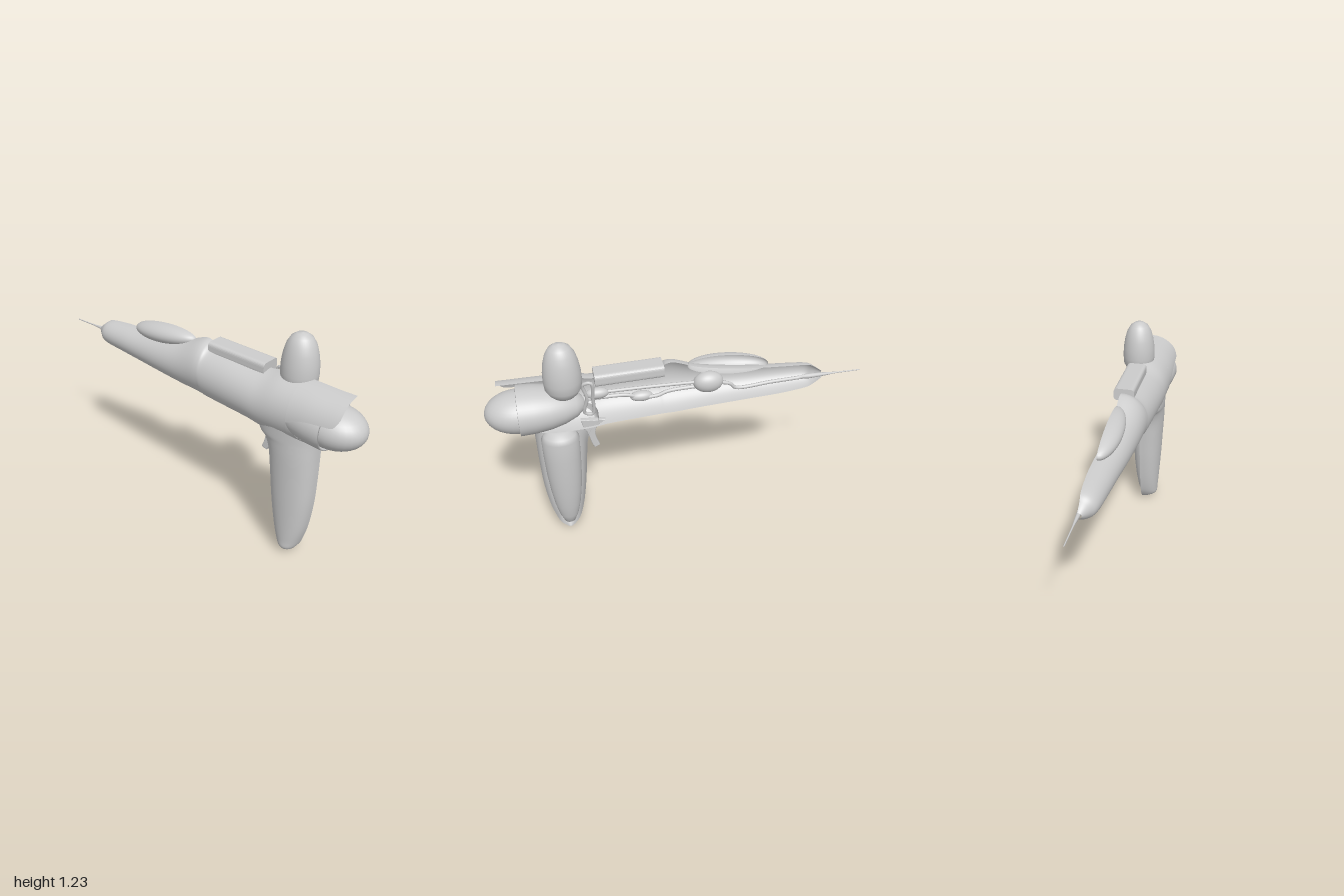
import * as THREE from 'three';
import { ParametricGeometry } from 'three/addons/geometries/ParametricGeometry.js';

const solid = new THREE.MeshStandardMaterial({ color: 0xcccccc });
const thin = new THREE.MeshStandardMaterial({ color: 0xcccccc, side: THREE.DoubleSide });

// Catmull-Rom interpolation through a list of equal-length rows, t in 0..1
function sample(rows, t) {
  const n = rows.length - 1;
  const i = Math.min(Math.floor(t * n), n - 1);
  const f = t * n - i;
  const at = (k) => rows[Math.max(0, Math.min(n, k))];
  return rows[i].map((b, k) => {
    const a = at(i - 1)[k], c = at(i + 1)[k], d = at(i + 2)[k];
    return b + 0.5 * f * (c - a + f * (2 * a - 5 * b + 4 * c - d + f * (3 * (b - c) + d - a)));
  });
}

export function createModel() {
  const model = new THREE.Group();

  function add(name, geometry, material = solid) {
    const mesh = new THREE.Mesh(geometry, material);
    mesh.name = name;
    model.add(mesh);
    return mesh;
  }

  function surface(name, fn, slices, stacks) {
    const g = new ParametricGeometry(fn, slices, stacks);
    g.computeVertexNormals();
    return add(name, g, thin);
  }

  // Turned body from [radius, height] points
  function turned(name, profile, segments = 40) {
    const pts = profile.map(([r, y]) => new THREE.Vector2(r, y));
    return add(name, new THREE.LatheGeometry(pts, segments));
  }

  function tube(name, points, radius, closed = false) {
    const path = new THREE.CatmullRomCurve3(points.map((p) => new THREE.Vector3(...p)), closed);
    return add(name, new THREE.TubeGeometry(path, 48, radius, 8, closed));
  }

  function ellipsoid(name, position, radii) {
    const mesh = add(name, new THREE.SphereGeometry(1, 32, 20));
    mesh.position.set(...position);
    mesh.scale.set(...radii);
    return mesh;
  }

  // Half fuselage skin: rows of x, top, bottom, front depth, back edge, first and last angle
  function skin(name, rows, stacks) {
    surface(name, (u, v, p) => {
      const [x, top, bottom, front, back, a0, a1] = sample(rows, v);
      const a = Math.PI * (a0 + (a1 - a0) * u);
      p.set(x, (top + bottom) / 2 + (top - bottom) / 2 * Math.cos(a),
        back + (front - back) * Math.sin(a));
    }, 28, stacks);
  }
  skin('fuselageShell', [
    [-0.78, 0.88, 0.848, -0.02, -0.04, 0, 1],
    [-0.74, 0.91, 0.815, 0.01, -0.04, 0, 1],
    [-0.69, 0.937, 0.796, 0.038, -0.045, 0, 1],
    [-0.55, 0.95, 0.782, 0.053, -0.05, 0, 1],
    [-0.4, 0.957, 0.77, 0.065, -0.045, 0, 1],
    [-0.25, 0.972, 0.758, 0.08, -0.04, 0, 1],
    [-0.1, 0.998, 0.746, 0.093, -0.035, 0, 1],
    [0.02, 1.04, 0.737, 0.104, -0.035, 0, 1],
    [0.07, 1.04, 0.734, 0.107, -0.032, 0, 1],
    [0.11, 1.018, 0.731, 0.11, -0.03, 0, 1],
    [0.25, 1.01, 0.722, 0.119, -0.03, 0, 1],
    [0.38, 1.003, 0.713, 0.126, -0.03, 0, 1],
    [0.46, 1.005, 0.7, 0.129, -0.03, 0, 1],
    [0.55, 1.02, 0.695, 0.133, -0.03, 0, 1],
    [0.65, 1.023, 0.695, 0.136, -0.03, 0, 1],
  ], 84);
  skin('upperCowlFlap', [
    [0.65, 1.023, 0.695, 0.136, -0.03, 0, 0.52],
    [0.74, 1.022, 0.7, 0.138, -0.028, 0, 0.45],
    [0.84, 1.02, 0.7, 0.138, -0.025, 0, 0.42],
    [0.895, 1.02, 0.7, 0.138, -0.025, 0, 0.4],
    [0.92, 1.02, 0.7, 0.138, -0.025, 0, 0.31],
  ], 20);
  skin('lowerCowlFlap', [
    [0.65, 1.023, 0.695, 0.136, -0.03, 0.52, 1],
    [0.69, 1.022, 0.7, 0.136, -0.03, 0.65, 1],
    [0.77, 1.02, 0.715, 0.136, -0.03, 0.82, 1],
  ], 10);

  // Half wing skin: rows of y, trailing x, leading x, front depth
  const wingRows = [
    [0.78, 0.43, 0.77, 0.115], [0.725, 0.435, 0.768, 0.112], [0.69, 0.47, 0.766, 0.109],
    [0.62, 0.497, 0.765, 0.106], [0.5, 0.511, 0.763, 0.1], [0.35, 0.526, 0.756, 0.093],
    [0.2, 0.548, 0.736, 0.084], [0.1, 0.572, 0.71, 0.077], [0.05, 0.595, 0.69, 0.07],
    [0.02, 0.619, 0.663, 0.025], [0.005, 0.638, 0.646, -0.015],
  ];
  surface('wingShell', (u, v, p) => {
    const [y, x0, x1, front] = sample(wingRows, v);
    const a = Math.PI * u;
    p.set((x0 + x1) / 2 - (x1 - x0) / 2 * Math.cos(a), y,
      -0.02 + (front + 0.02) * Math.pow(Math.max(0, Math.sin(a)), 0.65));
  }, 32, 50);

  // Open half canopy
  const canopy = add('canopy', new THREE.SphereGeometry(1, 32, 24, 0, Math.PI), thin);
  canopy.position.set(-0.255, 0.99, -0.03);
  canopy.scale.set(0.217, 0.056, 0.08);
  canopy.rotation.z = 0.1;

  // Long pod inside the wing and short pod above the fuselage
  const lowerPod = turned('lowerPod', [
    [0, 0.03], [0.03, 0.045], [0.052, 0.1], [0.07, 0.18], [0.084, 0.28], [0.094, 0.4],
    [0.099, 0.52], [0.1, 0.64], [0.085, 0.665], [0.055, 0.692], [0, 0.692],
  ]);
  lowerPod.position.set(0.64, 0, 0);
  lowerPod.scale.z = 0.83;
  const upperPod = turned('upperPod', [
    [0, 0.93], [0.055, 0.935], [0.075, 0.955], [0.092, 0.985], [0.096, 1.03], [0.094, 1.08],
    [0.086, 1.13], [0.073, 1.175], [0.053, 1.208], [0.028, 1.225], [0, 1.23],
  ]);
  upperPod.position.set(0.595, 0, -0.046);
  upperPod.scale.z = 0.94;

  // Engine cowl with recessed lip, and the rounded nose within it
  const cowl = turned('engineCowl', [
    [0, 0.49], [0.3, 0.505], [0.52, 0.54], [0.73, 0.6], [0.88, 0.67], [0.97, 0.75],
    [1, 0.83], [0.95, 0.832], [0.9, 0.79], [0, 0.77],
  ], 48);
  cowl.geometry.rotateZ(-Math.PI / 2);
  cowl.scale.set(1, 0.125, 0.145);
  cowl.position.y = 0.845;
  ellipsoid('engineNose', [0.83, 0.842, 0], [0.17, 0.107, 0.131]);

  // Long rounded block on the spine
  const w = 0.055, h = 0.033, r = 0.022;
  const block = new THREE.Shape();
  block.moveTo(-w + r, -h).lineTo(w - r, -h).quadraticCurveTo(w, -h, w, -h + r)
    .lineTo(w, h - r).quadraticCurveTo(w, h, w - r, h).lineTo(-w + r, h)
    .quadraticCurveTo(-w, h, -w, h - r).lineTo(-w, -h + r).quadraticCurveTo(-w, -h, -w + r, -h);
  const spine = add('spineBlock', new THREE.ExtrudeGeometry(block,
    { depth: 0.35, bevelEnabled: false, curveSegments: 6 }).rotateY(Math.PI / 2));
  spine.position.set(0.09, 1.02, -0.026);
  spine.rotation.z = -0.03;

  // Tail probe
  const probe = turned('tailProbe', [[0, -1], [0.003, -0.99], [0.004, -0.86], [0.01, -0.78], [0.014, -0.7], [0, -0.6]], 12);
  probe.geometry.rotateZ(-Math.PI / 2);
  probe.position.set(0, 0.863, -0.038);

  // Control linkage inside the shell
  tube('controlRod', [[-0.75, 0.863, -0.038], [-0.5, 0.853, -0.035], [-0.3, 0.842, -0.03],
    [-0.27, 0.87, -0.03], [-0.2, 0.89, -0.03]], 0.01);
  ellipsoid('linkageBall', [-0.15, 0.9, -0.03], [0.08, 0.058, 0.05]);
  tube('upperRod', [[-0.1, 0.905, -0.03], [0.15, 0.912, -0.03], [0.5, 0.915, -0.03]], 0.009);
  tube('lowerRod', [[-0.1, 0.88, -0.03], [0.06, 0.865, -0.02], [0.12, 0.845, -0.02],
    [0.2, 0.84, -0.01], [0.28, 0.865, -0.01], [0.48, 0.87, -0.01]], 0.01);
  ellipsoid('rodBulb', [0.43, 0.912, -0.03], [0.06, 0.03, 0.03]);
  ellipsoid('leverKnob', [0.2, 0.842, 0], [0.06, 0.028, 0.03]);
  tube('bracketLoop', [[0.46, 1.0, -0.07], [0.5, 0.99, -0.06], [0.485, 0.9, -0.05], [0.5, 0.8, -0.03],
    [0.46, 0.79, -0.03], [0.455, 0.9, -0.05]], 0.009, true);

  // Curved hook under the fuselage
  const hook = new THREE.Shape();
  hook.moveTo(0.4, 0.73).bezierCurveTo(0.46, 0.7, 0.475, 0.66, 0.44, 0.572)
    .lineTo(0.462, 0.562).bezierCurveTo(0.485, 0.6, 0.48, 0.66, 0.51, 0.69).lineTo(0.52, 0.74);
  add('hook', new THREE.ExtrudeGeometry(hook, {
    depth: 0.014, bevelThickness: 0.006, bevelSize: 0.004, bevelSegments: 3, curveSegments: 12,
  })).position.z = -0.012;

  return model;
}
